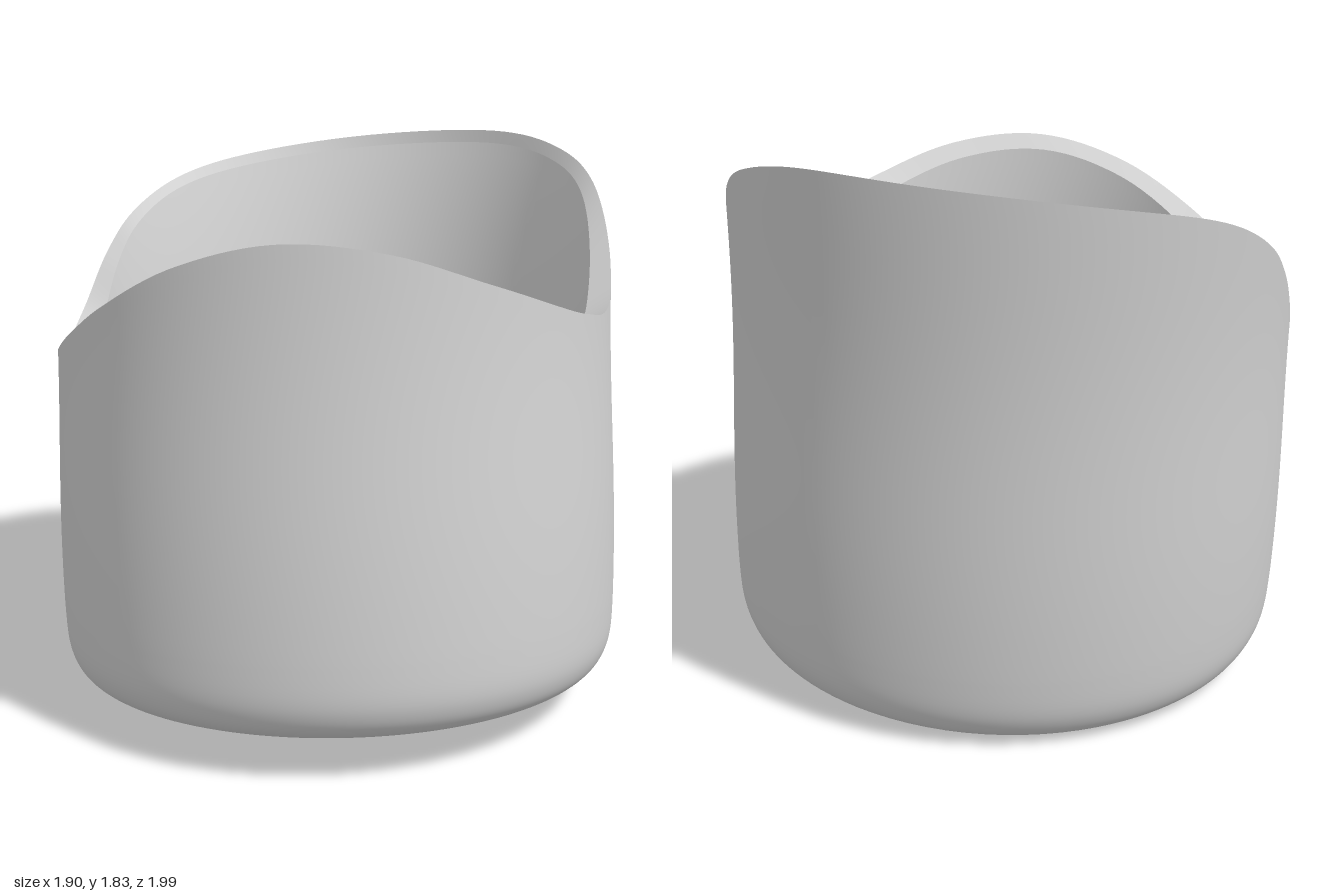
import * as THREE from 'three';
import { mergeVertices } from 'three/addons/utils/BufferGeometryUtils.js';

// Broken rim: angle in degrees (0 = front, 90 = +x) and height above the ground.
// It starts and ends at the crack on the -x side.
const RIM = [
  [-85.5, 1.145], [-70, 1.19], [-55, 1.285], [-40, 1.405], [-20, 1.555], [0, 1.635], [20, 1.607],
  [40, 1.505], [60, 1.4], [70, 1.36], [80, 1.34], [90, 1.38], [100, 1.51], [115, 1.70], [130, 1.795],
  [150, 1.84], [180, 1.815], [210, 1.75], [230, 1.675], [245, 1.56], [255, 1.43], [265, 1.27],
  [274.5, 1.17],
];
const MID = 94.5;
const LEAN_X = 0.033, LEAN_Z = 0.075, BASE_Y = 0.065;
const COLUMNS = 168, ROWS = 28;
const LIP_DROP = 0.045; // the broken edge slopes down to the inside
const { lerp, clamp, degToRad } = THREE.MathUtils;

const polar = (deg, r, y) => {
  const a = degToRad(deg);
  return new THREE.Vector3(r * Math.sin(a), y, r * Math.cos(a));
};

// Wall radii by height: slightly waisted outside, widening inside so the back edge is thin
const outerR = (y) => 0.935 + 0.008 * Math.cos((2 * Math.PI * (y - 0.45)) / 1.55);
const innerR = (y) => {
  const t = (y - 0.35) / 1.4;
  return 0.8 + 0.04 * t + 0.09 * t ** 3;
};

// The crack opens on the outside, growing wider towards the rim
const CRACK_FOOT = 0.8;
const crackGap = (y) => 2.4 * clamp((y - CRACK_FOOT) / 0.32, 0, 1);
const outerPoint = (deg, y) => polar(MID + (deg - MID) * (1 - crackGap(y) / 180), outerR(y), y);

// Columns of the wall: angle and rim height measured along the leaning axis
function makeColumns() {
  const curve = new THREE.SplineCurve(RIM.map(([a, h]) => new THREE.Vector2(a, h)));
  return curve.getPoints(COLUMNS).map((p) => {
    const c = polar(p.x, 0.93, 0);
    const top = p.y - BASE_Y - LEAN_X * c.x - LEAN_Z * c.z;
    return { deg: p.x, top, lip: top - LIP_DROP };
  });
}

// Surface through rows of points, one list per column
function gridGeometry(columns) {
  const rows = columns[0].length, pos = [], index = [];
  columns.forEach((col) => col.forEach((p) => pos.push(p.x, p.y, p.z)));
  for (let i = 0; i < columns.length - 1; i++) {
    for (let j = 0; j < rows - 1; j++) {
      const a = i * rows + j, b = a + rows;
      index.push(a, b, a + 1, b, b + 1, a + 1);
    }
  }
  const geo = new THREE.BufferGeometry();
  geo.setAttribute('position', new THREE.Float32BufferAttribute(pos, 3));
  geo.setIndex(index);
  const welded = mergeVertices(geo, 1e-4);
  welded.computeVertexNormals();
  return welded;
}

// Smooth a short profile of [radius, height] pairs
const smoothProfile = (pairs, n) =>
  new THREE.SplineCurve(pairs.map(([r, y]) => new THREE.Vector2(r, y))).getPoints(n);

export function createModel() {
  const model = new THREE.Group();
  const grey = new THREE.MeshStandardMaterial({ color: 0xd2d2d2 });
  grey.name = 'plain grey';

  const vessel = new THREE.Group();
  vessel.name = 'leaningVessel';
  vessel.position.set(0.01, BASE_Y, 0.08);
  vessel.rotation.set(-LEAN_Z, 0, LEAN_X);
  model.add(vessel);

  const add = (name, geometry) => {
    const mesh = new THREE.Mesh(geometry, grey);
    mesh.name = name;
    vessel.add(mesh);
  };
  const columns = makeColumns();

  // Hollow under the base, rounded foot and outer wall in one smooth skin
  const base = smoothProfile([[0, 0.55], [0.2, 0.51], [0.4, 0.39], [0.56, 0.23], [0.67, 0.1],
    [0.73, 0.03], [0.78, 0], [0.84, 0.012], [0.89, 0.046], [0.92, 0.095], [0.935, 0.16],
    [outerR(0.27), 0.27]], 48);
  add('outerWallAndBase', gridGeometry(columns.map(({ deg, top }) => {
    const col = base.map((p) => polar(deg, p.x, p.y));
    for (let j = 1; j <= ROWS; j++) col.push(outerPoint(deg, lerp(0.27, top, j / ROWS)));
    return col;
  })));

  // Inner wall running down into the domed floor
  const floor = smoothProfile([[innerR(0.42), 0.42], [0.787, 0.34], [0.772, 0.285], [0.745, 0.265],
    [0.71, 0.285], [0.58, 0.42], [0.4, 0.57], [0.2, 0.67], [0, 0.7]], 40);
  add('innerWallAndFloor', gridGeometry(columns.map(({ deg, lip }) => {
    const col = [];
    for (let j = 0; j < ROWS; j++) {
      const y = lerp(lip, 0.42, j / ROWS);
      col.push(polar(deg, innerR(y), y));
    }
    return col.concat(floor.map((p) => polar(deg, p.x, p.y)));
  })));

  // Broken edge between the two walls
  add('brokenRim', gridGeometry(columns.map(({ deg, top, lip }) => [
    outerPoint(deg, top), polar(deg, innerR(lip), lip),
  ])));

  // Two faces of the wedge-shaped crack
  [columns[0], columns[COLUMNS]].forEach(({ deg, top, lip }, k) => {
    const strip = [];
    for (let j = 0; j <= 12; j++) {
      const t = j / 12, rootY = lerp(CRACK_FOOT, lip, t);
      const root = polar(deg, lerp(outerR(rootY), innerR(rootY), t), rootY);
      strip.push([outerPoint(deg, lerp(CRACK_FOOT, top, t)), root]);
    }
    add(k ? 'crackBackFace' : 'crackFrontFace', gridGeometry(k ? strip.reverse() : strip));
  });

  return model;
}
